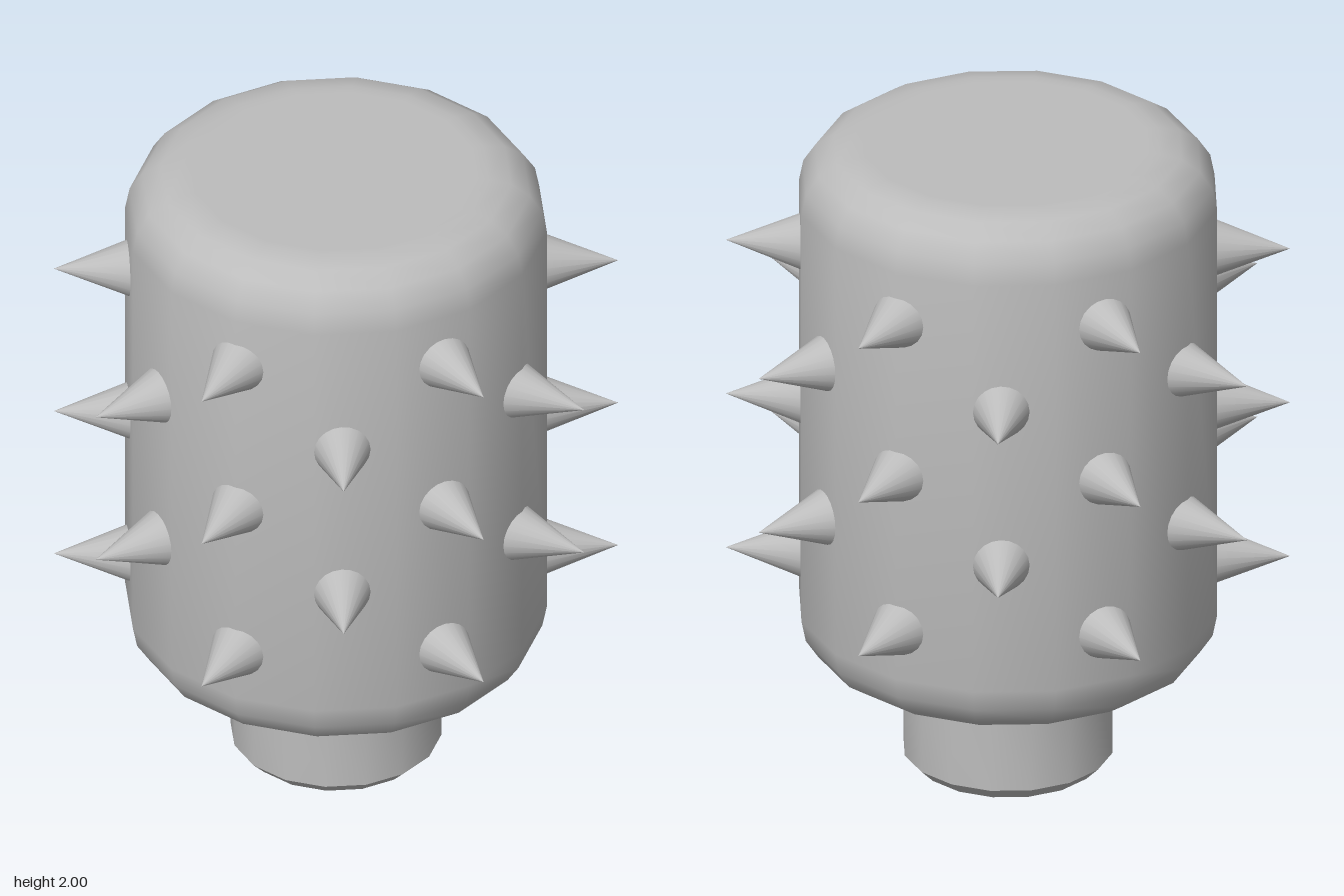
import * as THREE from 'three';
import { toCreasedNormals } from 'three/addons/utils/BufferGeometryUtils.js';

const SIDES = 16;
const steel = new THREE.MeshStandardMaterial({ color: 0xbcbcbc });
steel.name = 'grey steel';

function turned(name, points) {
  const lathe = new THREE.LatheGeometry(points.map(([r, y]) => new THREE.Vector2(r, y)), SIDES);
  const mesh = new THREE.Mesh(toCreasedNormals(lathe, 0.6), steel);
  mesh.name = name;
  return mesh;
}

export function createModel() {
  const group = new THREE.Group();
  group.name = 'spikedMaceHead';

  // Drum with rounded top and bottom rims
  const R = 0.62, bottom = 0.34, top = 2, round = 0.17, steps = 4;
  const profile = [[0, bottom], [R - round - 0.03, bottom]];
  for (let i = 0; i <= steps; i++) {
    const a = (i / steps) * Math.PI / 2;
    profile.push([R - round + round * Math.sin(a), bottom + round - round * Math.cos(a)]);
  }
  for (let i = 0; i <= steps; i++) {
    const a = (i / steps) * Math.PI / 2;
    profile.push([R - round + round * Math.cos(a), top - round + round * Math.sin(a)]);
  }
  profile.push([R - round - 0.03, top], [0, top]);
  group.add(turned('drum', profile));

  // Short socket with bevelled ends
  group.add(turned('socket', [[0, 0], [0.27, 0], [0.31, 0.04], [0.31, 0.3], [0.27, 0.345], [0, 0.345]]));

  // Five staggered rings of six spikes
  const base = 0.58, tip = 0.826;
  const spikeGeometry = new THREE.ConeGeometry(0.094, tip - base, 20);
  spikeGeometry.rotateX(Math.PI / 2);
  spikeGeometry.translate(0, 0, (base + tip) / 2);
  for (let row = 0; row < 5; row++) {
    const ring = new THREE.Group();
    ring.name = 'spikeRing' + (row + 1);
    ring.position.y = 0.67 + row * 0.25;
    ring.rotation.y = (row % 2) * Math.PI / 6;
    for (let i = 0; i < 6; i++) {
      const spike = new THREE.Mesh(spikeGeometry, steel);
      spike.name = 'spike';
      spike.rotation.y = i * Math.PI / 3;
      ring.add(spike);
    }
    group.add(ring);
  }
  return group;
}
